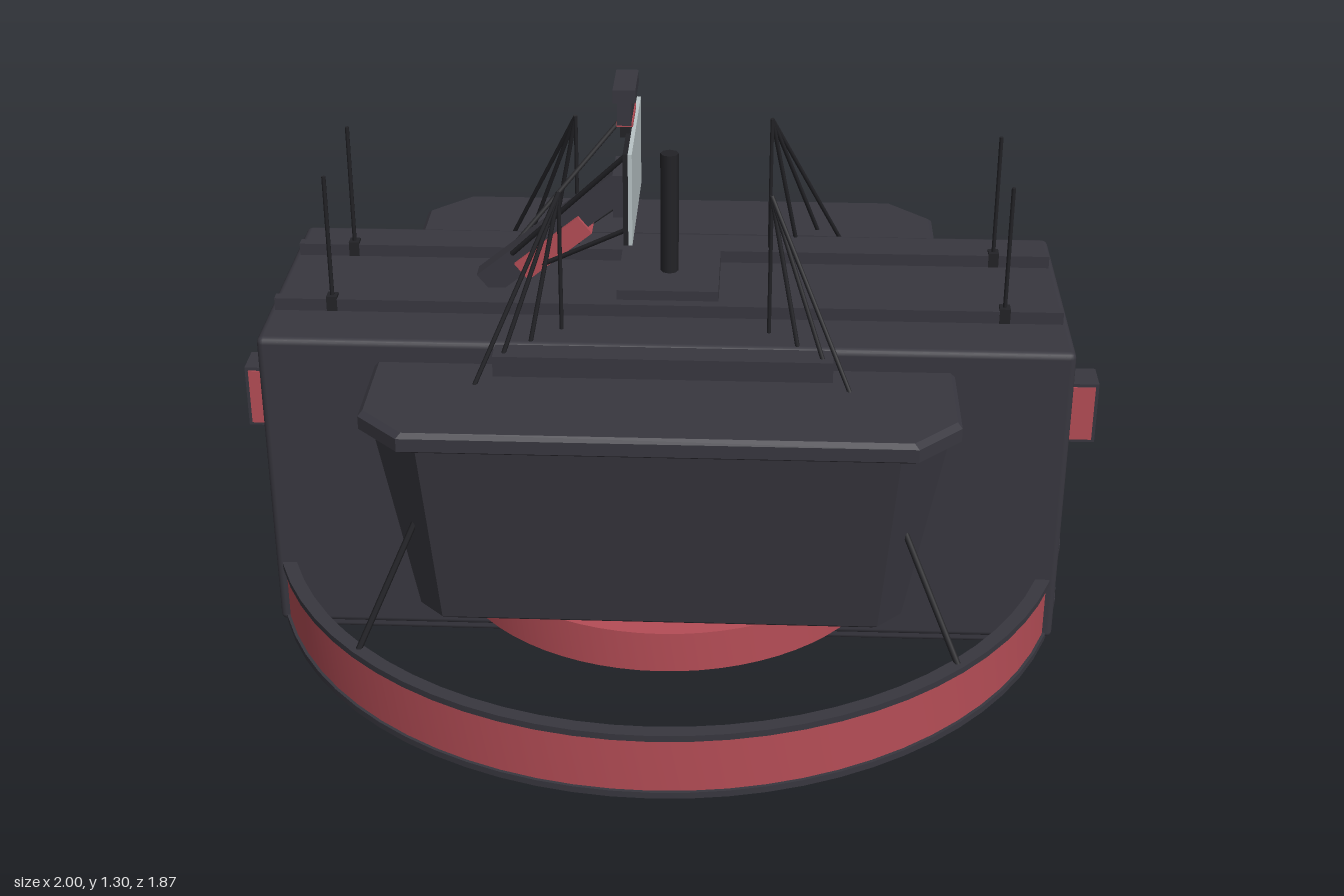
import * as THREE from 'three';
import { toCreasedNormals } from 'three/addons/utils/BufferGeometryUtils.js';
import { RoundedBoxGeometry } from 'three/addons/geometries/RoundedBoxGeometry.js';

const paint = (name, color) => {
  const m = new THREE.MeshStandardMaterial({ color });
  m.name = name;
  return m;
};

export function createModel() {
  const model = new THREE.Group();
  const hull = paint('charcoal hull', 0x38373f);
  const dark = paint('dark metal', 0x232327);
  const red = paint('red trim', 0xb54d56);
  const pale = paint('pale panel', 0xb9c4c6);

  const add = (name, geo, mat, x = 0, y = 0, z = 0, parent = model) => {
    const m = new THREE.Mesh(geo, mat);
    m.name = name;
    m.position.set(x, y, z);
    parent.add(m);
    return m;
  };
  // Box given by its limits on each axis
  const box = (name, mat, x0, x1, y0, y1, z0, z1, parent) =>
    add(name, new THREE.BoxGeometry(x1 - x0, y1 - y0, z1 - z0), mat,
      (x0 + x1) / 2, (y0 + y1) / 2, (z0 + z1) / 2, parent);
  // Thin round bar between two points
  const rod = (name, a, b, r, mat = dark) => {
    const p = new THREE.Vector3(...a), q = new THREE.Vector3(...b);
    const d = q.clone().sub(p);
    const m = add(name, new THREE.CylinderGeometry(r, r, d.length(), 6), mat);
    m.position.copy(p).add(q).multiplyScalar(0.5);
    m.quaternion.setFromUnitVectors(new THREE.Vector3(0, 1, 0), d.normalize());
    return m;
  };
  // Hoop with a rectangular section
  const hoop = (name, mat, r0, r1, y0, y1) => {
    const pts = [[r1, y0], [r1, y1], [r0, y1], [r0, y0], [r1, y0]];
    const geo = new THREE.LatheGeometry(pts.map(p => new THREE.Vector2(...p)), 72);
    return add(name, toCreasedNormals(geo, 0.6), mat);
  };
  // Loft through chamfered rectangles: [y, half x, half z, chamfer]
  const loft = (name, mat, sections) => {
    const rings = sections.map(([y, hx, hz, c]) => [
      [hx, hz - c], [hx - c, hz], [c - hx, hz], [-hx, hz - c],
      [-hx, c - hz], [c - hx, -hz], [hx - c, -hz], [hx, c - hz],
    ].map(([x, z]) => [x, y, z]));
    const pos = [];
    const tri = (a, b, c) => pos.push(...a, ...b, ...c);
    for (let s = 0; s < rings.length - 1; s++) {
      for (let i = 0; i < 8; i++) {
        const j = (i + 1) % 8, lo = rings[s], hi = rings[s + 1];
        tri(lo[i], hi[j], lo[j]);
        tri(lo[i], hi[i], hi[j]);
      }
    }
    const bottom = rings[0], top = rings[rings.length - 1];
    for (let i = 1; i < 7; i++) {
      tri(bottom[0], bottom[i], bottom[i + 1]);
      tri(top[0], top[i + 1], top[i]);
    }
    const geo = new THREE.BufferGeometry();
    geo.setAttribute('position', new THREE.Float32BufferAttribute(pos, 3));
    geo.computeVertexNormals();
    return add(name, geo, mat);
  };

  // Central body, keel and belly plate
  add('centralBody', new RoundedBoxGeometry(1.8, 0.74, 0.62, 2, 0.015), hull, 0, 0.433, 0);
  add('keel', new RoundedBoxGeometry(1.66, 0.07, 0.51, 2, 0.012), hull, 0, 0.047, 0);
  box('bellyPlate', hull, -0.43, 0.43, 0, 0.02, -0.15, 0.15);

  // Tapered side tubs with an overhanging lip, passing through the body
  loft('sideTubs', hull, [
    [0.228, 0.52, 0.525, 0.05], [0.24, 0.535, 0.54, 0.055], [0.71, 0.62, 0.61, 0.11],
  ]);
  loft('tubLip', hull, [
    [0.703, 0.625, 0.625, 0.095], [0.712, 0.638, 0.638, 0.095],
    [0.742, 0.638, 0.638, 0.095], [0.752, 0.628, 0.628, 0.095],
  ]);

  // Large outer hoop, its rims, and the smaller hoop inside
  hoop('outerHoop', red, 0.912, 0.93, 0.075, 0.215);
  hoop('outerHoopLowerRim', hull, 0.905, 0.937, 0.065, 0.08);
  hoop('outerHoopUpperRim', hull, 0.905, 0.937, 0.21, 0.225);
  hoop('innerHoop', red, 0.48, 0.53, 0.1, 0.2);

  for (const sx of [-1, 1]) {
    // End pods with a red front window
    const [a, b] = sx > 0 ? [0.89, 1] : [-1, -0.89];
    box('endPod', hull, a, b, 0.437, 0.59, -0.04, 0.04);
    box('endPodWindow', red, a + 0.008, b - 0.008, 0.445, 0.582, 0.038, 0.043);

    for (const sz of [-1, 1]) {
      // Struts from the tubs to the hoop
      rod('hoopStrut', [sx * 0.53, 0.48, sz * 0.53], [sx * 0.655, 0.21, sz * 0.655], 0.007);
      // Whip aerials on the roof rails
      rod('aerial', [sx * 0.755, 0.82, sz * 0.15], [sx * 0.755, 1.125, sz * 0.15], 0.005);
      box('aerialFoot', dark, sx * 0.755 - 0.012, sx * 0.755 + 0.012, 0.8, 0.838,
        sz * 0.15 - 0.014, sz * 0.15 + 0.014);
      // Fans of stays in a diagonal plane
      const top = [sx * 0.23, 1.13, sz * 0.23];
      for (const [d, y] of [[0.23, 0.79], [0.295, 0.79], [0.35, 0.79], [0.41, 0.74]]) {
        rod('stay', top, [sx * d, y, sz * d], 0.005);
      }
    }
  }
  for (const sz of [-1, 1]) {
    // Roof rails and the steps beside the body
    box('roofRail', hull, -0.885, 0.885, 0.79, 0.832, sz * 0.15 - 0.013, sz * 0.15 + 0.013);
    box('sideStep', hull, -0.37, 0.37, 0.74, 0.8, sz * 0.338 - 0.03, sz * 0.338 + 0.03);
  }

  // Mast
  box('mastBase', hull, -0.115, 0.115, 0.79, 0.845, -0.115, 0.115);
  add('mast', new THREE.CylinderGeometry(0.021, 0.021, 0.3, 8), dark, 0, 0.983, 0);

  // Sloping boom with its red cheek block
  const boom = new THREE.Group();
  boom.name = 'boom';
  boom.position.set(-0.25, 0.945, 0);
  boom.rotation.z = 0.68;
  model.add(boom);
  box('boomBeam', hull, -0.22, 0.2, -0.03, 0.035, -0.024, 0.024, boom);
  box('boomCheeks', red, -0.13, 0.06, -0.045, 0.005, -0.034, 0.034, boom);
  box('boomHead', hull, -0.125, -0.085, 1, 1.1, -0.06, 0.06);

  // Upright panel with a back frame
  box('panel', pale, -0.083, -0.074, 0.985, 1.2, -0.18, 0.18);
  for (const s of [-1, 1]) {
    box('panelSideFrame', dark, -0.094, -0.083, 0.985, 1.2, s * 0.174 - 0.006, s * 0.174 + 0.006);
    box('panelCrossFrame', dark, -0.094, -0.083, 1.0925 + s * 0.101 - 0.006,
      1.0925 + s * 0.101 + 0.006, -0.18, 0.18);
    rod('panelUpperBrace', [-0.088, 1.19, s * 0.16], [-0.36, 0.89, s * 0.025], 0.006);
    rod('panelLowerBrace', [-0.088, 0.99, s * 0.1], [-0.3, 0.86, s * 0.025], 0.006);
  }

  // Lamp above the panel
  box('lampHood', hull, -0.122, -0.072, 1.275, 1.305, -0.067, 0.067);
  box('lampBody', hull, -0.113, -0.081, 1.222, 1.278, -0.065, 0.065);
  box('lampStrip', red, -0.114, -0.078, 1.218, 1.229, -0.062, 0.062);
  for (const s of [-1, 1]) {
    box('lampFoot', dark, -0.107, -0.087, 1.19, 1.222, s * 0.045 - 0.01, s * 0.045 + 0.01);
  }
  return model;
}
